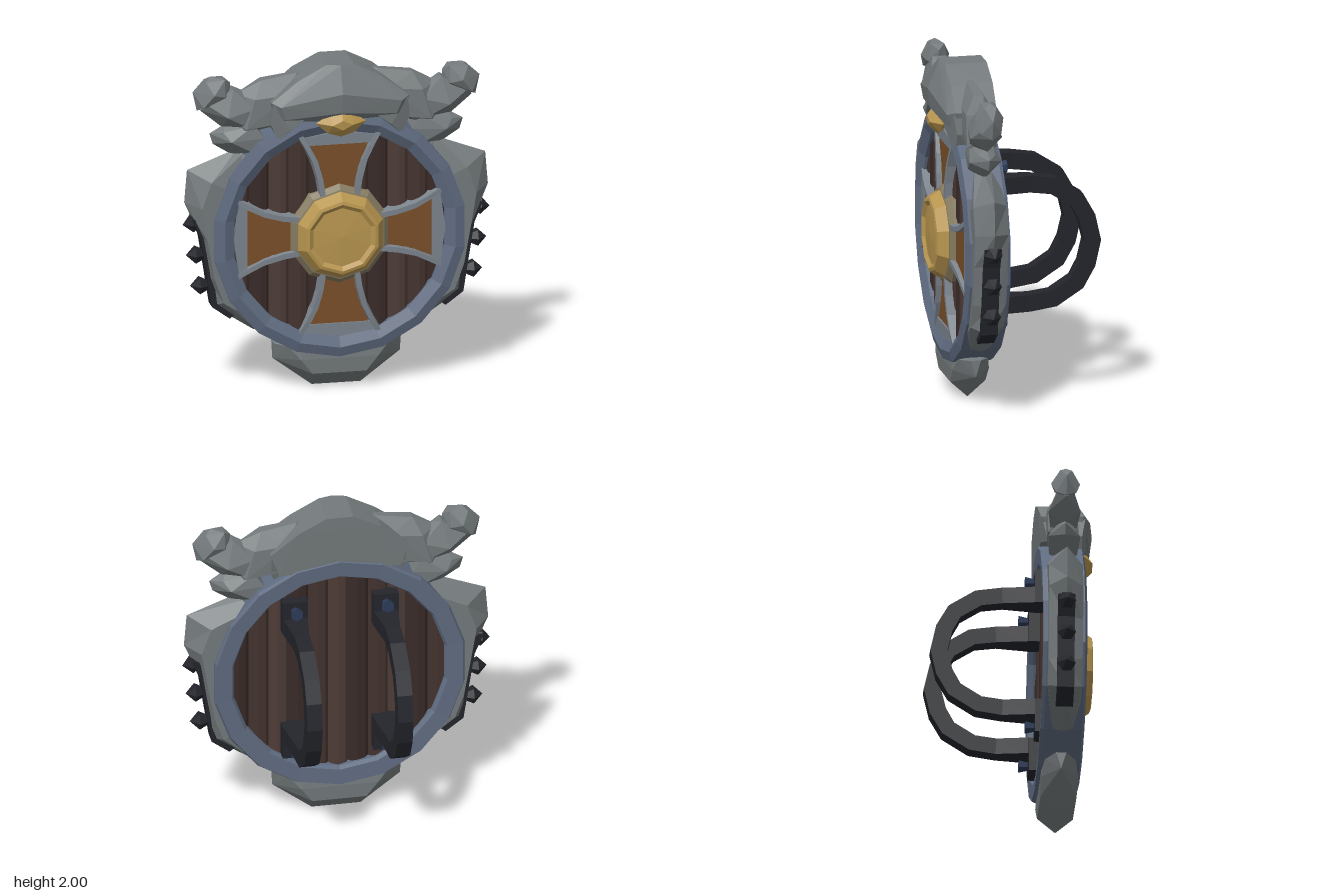
import * as THREE from 'three';
import { ConvexGeometry } from 'three/addons/geometries/ConvexGeometry.js';

const CY = 0.955; // height of the shield centre
const MZ = 0.28; // middle plane of the shield
const mat = (color) => new THREE.MeshStandardMaterial({ color, flatShading: true });
const stone = mat(0x747a7c), steel = mat(0x5f6b80), trim = mat(0x7b838c), brass = mat(0xb8964f);
const leather = mat(0x7a4f28), iron = mat(0x23252b), boltBlue = mat(0x2c3a58);
const woods = [mat(0x43332f), mat(0x4d3c37), mat(0x392b29)];

function add(parent, name, geometry, material) {
  const mesh = new THREE.Mesh(geometry, material);
  mesh.name = name;
  parent.add(mesh);
  return mesh;
}

// Convex faceted solid; an entry [x, y, d] becomes two points at MZ +- d
function lens(points) {
  return new ConvexGeometry(points.flatMap(([x, y, d]) =>
    d ? [new THREE.Vector3(x, y, MZ + d), new THREE.Vector3(x, y, MZ - d)] : [new THREE.Vector3(x, y, MZ)]));
}
const hull = (points) => new ConvexGeometry(points.map((p) => new THREE.Vector3(...p)));
const both = (points) => points.flatMap(([x, y, z]) => (x ? [[x, y, z], [-x, y, z]] : [[x, y, z]]));

// Joins equal cross-sections (counter-clockwise about the travel direction) and caps the ends
function loft(sections) {
  const n = sections[0].length, last = sections.length - 1, index = [];
  for (let k = 0; k < last; k++) {
    for (let i = 0; i < n; i++) {
      const j = (i + 1) % n, a = k * n, b = a + n;
      index.push(a + i, a + j, b + j, a + i, b + j, b + i);
    }
  }
  for (let i = 1; i < n - 1; i++) {
    index.push(0, i + 1, i, last * n, last * n + i, last * n + i + 1);
  }
  const g = new THREE.BufferGeometry();
  g.setAttribute('position', new THREE.Float32BufferAttribute(sections.flat(2), 3));
  g.setIndex(index);
  g.computeVertexNormals();
  return g;
}

// Lathe turned to face the front; the profile is [radius, z]
function turned(profile, sides) {
  return new THREE.LatheGeometry(profile.map(([r, z]) => new THREE.Vector2(r, z)), sides)
    .rotateX(Math.PI / 2).translate(0, CY, 0);
}

// Point at an angle and radius about the shield centre
function polar(deg, r, z) {
  const a = THREE.MathUtils.degToRad(deg);
  return [Math.cos(a) * r, CY + Math.sin(a) * r, z];
}

function createPlanks() {
  const g = new THREE.Group();
  g.name = 'woodPlanks';
  const R = 0.65, count = 11, w = (2 * R) / count;
  for (let i = 0; i < count; i++) {
    const x0 = -R + i * w, pts = [];
    for (const [t, d] of [[0, 0.06], [0.15, 0.08], [0.55, 0.088], [0.85, 0.08], [1, 0.06]]) {
      const x = x0 + t * w, h = Math.sqrt(Math.max(R * R - x * x, 0.0004));
      pts.push([x, CY + h, d], [x, CY - h, d]);
    }
    add(g, 'plank', lens(pts), woods[(i * 2) % 3]);
  }
  return g;
}

// One arm of the cross, pointing up: leather panel, two curved rails and an end strip
function createCrossArm() {
  const arm = new THREE.Group();
  arm.name = 'crossArm';
  const shape = new THREE.Shape([[-0.09, 0.24], [0.09, 0.24], [0.11, 0.4], [0.18, 0.57], [0, 0.6], [-0.18, 0.57],
    [-0.11, 0.4]].map(([x, y]) => new THREE.Vector2(x, y)));
  const panel = new THREE.ExtrudeGeometry(shape, { depth: 0.06, bevelEnabled: false }).translate(0, 0, 0.32);
  add(arm, 'armPanel', panel, leather);
  const path = [[0.1, 0.24, 0.41], [0.115, 0.34, 0.41], [0.145, 0.45, 0.405], [0.185, 0.53, 0.4], [0.23, 0.61, 0.39]];
  const rail = loft(path.map(([x, y, z]) =>
    [[x - 0.014, y, z], [x + 0.018, y, z], [x + 0.036, y, 0.3], [x - 0.03, y, 0.3]]));
  for (const s of [1, -1]) add(arm, 'armRail', rail, trim).scale.x = s;
  add(arm, 'armEndStrip', hull(both([[0.19, 0.55, 0.39], [0.21, 0.6, 0.39], [0, 0.575, 0.39], [0, 0.63, 0.39],
    [0.19, 0.55, 0.3], [0.21, 0.6, 0.3], [0, 0.57, 0.3], [0, 0.63, 0.3]])), trim);
  arm.position.y = CY;
  return arm;
}

// Everything on the left edge (+x); mirrored for the other side
function createSide() {
  const g = new THREE.Group();
  g.name = 'sideArmor';

  // Edge plate following the ring: [angle, outer radius, ridge radius, ridge half depth]
  const plate = [[42, 0.79, 0.76, 0.05], [25, 0.98, 0.84, 0.1], [13.4, 0.93, 0.84, 0.1], [0, 0.81, 0.785, 0.1],
    [-18, 0.81, 0.78, 0.1], [-29.5, 0.86, 0.79, 0.1], [-50, 0.77, 0.75, 0.06]];
  add(g, 'edgePlate', loft(plate.map(([a, ro, rm, d]) => [polar(a, ro, MZ), polar(a, rm, MZ + d),
    polar(a, 0.7, MZ + 0.1), polar(a, 0.7, MZ - 0.1), polar(a, rm, MZ - d)])), stone);

  // Dark strip carrying the studs
  const strip = [[8, 0.875], [0, 0.815], [-18, 0.815], [-29.5, 0.86], [-38, 0.815]];
  add(g, 'studStrip', loft(strip.map(([a, r]) => [polar(a, r - 0.08, MZ - 0.05), polar(a, r, MZ - 0.05),
    polar(a, r, MZ + 0.05), polar(a, r - 0.08, MZ + 0.05)])), iron);
  const stud = new THREE.LatheGeometry([[0, 0], [0.03, 0], [0.055, 0.05], [0, 0.105]]
    .map((p) => new THREE.Vector2(...p)), 6).rotateZ(-Math.PI / 2);
  for (const [x, y, tilt] of [[0.81, 1.045, -0.12], [0.79, 0.845, 0], [0.765, 0.655, 0]]) {
    const m = add(g, 'stud', stud, iron);
    m.position.set(x, y, MZ);
    m.rotation.z = tilt;
  }

  // Horn: branch from the crest, knobbed tip and lower knuckle
  add(g, 'hornBranch', lens([[0.18, 1.93], [0.24, 1.93, 0.02], [0.45, 1.9, 0.03], [0.6, 1.82], [0.64, 1.7],
    [0.5, 1.8, 0.085], [0.3, 1.82, 0.09], [0.3, 1.65, 0.08], [0.55, 1.62, 0.09], [0.6, 1.56]]), stone);
  add(g, 'hornNeck', lens([[0.56, 1.84], [0.62, 1.86, 0.04], [0.77, 1.77, 0.05], [0.81, 1.73], [0.68, 1.62],
    [0.66, 1.7, 0.095], [0.52, 1.62, 0.07], [0.5, 1.74, 0.08]]), stone);
  add(g, 'hornTip', lens([[0.63, 1.89], [0.67, 1.92, 0.04], [0.75, 1.935], [0.78, 1.91, 0.035], [0.855, 1.845],
    [0.83, 1.73], [0.8, 1.76, 0.06], [0.74, 1.84, 0.085], [0.67, 1.82, 0.06], [0.64, 1.78]]), stone);
  add(g, 'hornKnuckle', lens([[0.5, 1.64, 0.07], [0.66, 1.64], [0.68, 1.6, 0.05], [0.755, 1.585], [0.735, 1.52],
    [0.64, 1.55, 0.095], [0.61, 1.44], [0.52, 1.48, 0.08], [0.44, 1.56, 0.08]]), stone);

  // Drooping corner of the crest
  add(g, 'crestWing', hull([[0.2, 1.7, 0.44], [0.4, 1.78, 0.42], [0.415, 1.66, 0.4], [0.37, 1.55, 0.4],
    [0.3, 1.62, 0.43], [0.2, 1.7, 0.2], [0.4, 1.76, 0.17], [0.4, 1.63, 0.2], [0.37, 1.56, 0.22]]), stone);
  return g;
}

// Back strap with flared ends, base pads and bolts
function createHandle() {
  const g = new THREE.Group();
  g.name = 'handle';
  const half = [[1.31, 0.15, 0.075], [1.31, 0.1, 0.068], [1.31, -0.06, 0.045], [1.29, -0.2, 0.045],
    [1.2, -0.34, 0.045], [1.09, -0.4, 0.045]];
  const path = [...half, [0.95, -0.432, 0.045], ...half.map(([y, z, w]) => [1.9 - y, z, w]).reverse()];
  add(g, 'strap', loft(path.map(([y, z, w], i) => {
    const a = path[Math.max(i - 1, 0)], b = path[Math.min(i + 1, path.length - 1)];
    const len = Math.hypot(b[0] - a[0], b[1] - a[1]), t = 0.05;
    const ny = ((b[1] - a[1]) / len) * t, nz = (-(b[0] - a[0]) / len) * t;
    return [[-w, y - ny, z - nz], [w, y - ny, z - nz], [w, y + ny, z + nz], [-w, y + ny, z + nz]];
  })), iron);
  for (const s of [1, -1]) {
    add(g, 'strapPad', new THREE.BoxGeometry(0.15, 0.21, 0.08), iron).position.set(0, 0.95 + s * 0.415, 0.17);
    const bolt = add(g, 'bolt', new THREE.CylinderGeometry(0.025, 0.04, 0.06, 6).rotateX(Math.PI / 2), boltBlue);
    bolt.position.set(0, 0.95 + s * 0.465, 0.105);
  }
  return g;
}

export function createModel() {
  const model = new THREE.Group();
  model.name = 'shield';

  add(model, 'rimRing', turned([[0.65, 0.155], [0.745, 0.15], [0.755, 0.17], [0.755, 0.395], [0.695, 0.412],
    [0.635, 0.38], [0.635, 0.18], [0.65, 0.155]], 18), steel);
  model.add(createPlanks());

  for (let i = 0; i < 4; i++) {
    const arm = createCrossArm();
    arm.rotation.z = (i * Math.PI) / 2;
    model.add(arm);
  }

  // Central boss
  add(model, 'bossFlange', turned([[0.3, 0.3], [0.305, 0.38], [0.275, 0.41], [0.2, 0.43]], 10), mat(0x857a60));
  add(model, 'boss', turned([[0.27, 0.39], [0.265, 0.415], [0.225, 0.475], [0.205, 0.48], [0.18, 0.462],
    [0, 0.472]], 10), brass);

  // Crest over the top with its gem
  add(model, 'crest', hull(both([[0.08, 2, 0.15], [0.08, 2, 0.4], [0, 2, 0.42], [0.24, 1.92, 0.15],
    [0.25, 1.91, 0.4], [0.41, 1.78, 0.16], [0.41, 1.79, 0.41], [0.36, 1.77, 0.45], [0, 1.84, 0.485],
    [0, 1.72, 0.47], [0.33, 1.69, 0.44], [0.36, 1.64, 0.16], [0.38, 1.66, 0.38], [0, 1.66, 0.42]])), stone);
  add(model, 'gem', hull(both([[0.15, 1.655, 0.43], [0.07, 1.71, 0.44], [0, 1.725, 0.45], [0.08, 1.59, 0.43],
    [0, 1.565, 0.43], [0.06, 1.65, 0.485], [0, 1.68, 0.49], [0, 1.62, 0.485], [0.1, 1.65, 0.38]])), brass);

  // Bottom point
  add(model, 'bottomPlate', lens(both([[0.38, 0.28, 0.03], [0.38, 0.18, 0], [0.145, 0.003, 0], [0.16, 0.1, 0.105],
    [0.23, 0.19, 0.11], [0.3, 0.27, 0.09], [0.2, 0.3, 0.1]])), stone);

  for (const s of [1, -1]) {
    const side = createSide();
    side.scale.x = s;
    model.add(side);
    const handle = createHandle();
    handle.position.x = s * 0.27;
    model.add(handle);
  }
  return model;
}
